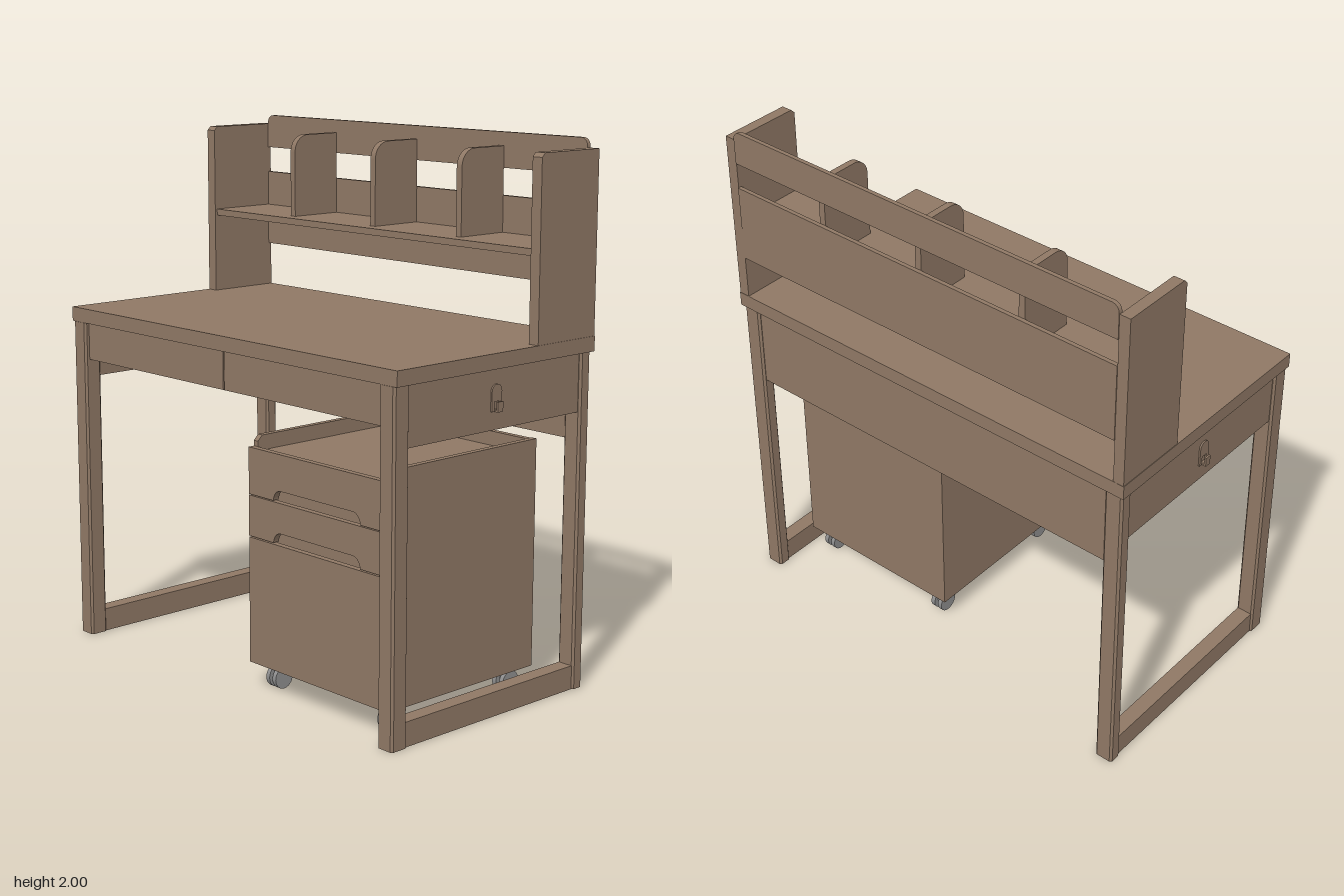
import * as THREE from 'three';

const wood = new THREE.MeshStandardMaterial({ color: 0x8f7865 });
wood.name = 'wood';
const grey = new THREE.MeshStandardMaterial({ color: 0x8e8e8e });
grey.name = 'casterGrey';

function add(group, name, geometry, material = wood) {
  const mesh = new THREE.Mesh(geometry, material);
  mesh.name = name;
  group.add(mesh);
  return mesh;
}

// Box given by its limits on each axis
function box(group, name, [x0, x1], [y0, y1], [z0, z1], material = wood) {
  const g = new THREE.BoxGeometry(x1 - x0, y1 - y0, z1 - z0);
  g.translate((x0 + x1) / 2, (y0 + y1) / 2, (z0 + z1) / 2);
  return add(group, name, g, material);
}

const polygon = (points) => new THREE.Shape(points.map(([a, b]) => new THREE.Vector2(a, b)));

// Profile drawn in (z, y), extruded from x0 to x1
function sideProfile(group, name, shape, x0, x1) {
  const g = new THREE.ExtrudeGeometry(shape, { depth: x1 - x0, bevelEnabled: false, curveSegments: 8 });
  g.rotateY(-Math.PI / 2).translate(x1, 0, 0);
  return add(group, name, g);
}

// Profile drawn in (x, y), extruded from z0 to z1
function frontProfile(group, name, shape, z0, z1) {
  const g = new THREE.ExtrudeGeometry(shape, { depth: z1 - z0, bevelEnabled: false, curveSegments: 8 });
  g.translate(0, 0, z0);
  return add(group, name, g);
}

// Upright leg with small chamfered edges
function leg(group, name, [x0, x1], height, [z0, z1]) {
  const c = 0.008;
  const s = polygon([[x0 + c, -z1], [x1 - c, -z1], [x1, -z1 + c], [x1, -z0 - c],
    [x1 - c, -z0], [x0 + c, -z0], [x0, -z0 - c], [x0, -z1 + c]]);
  const g = new THREE.ExtrudeGeometry(s, { depth: height, bevelEnabled: false });
  g.rotateX(-Math.PI / 2);
  add(group, name, g);
}

function createDesk() {
  const desk = new THREE.Group();
  desk.name = 'desk';
  box(desk, 'desktop', [-0.895, 0.895], [1.25, 1.305], [-0.488, 0.49]);
  box(desk, 'backApron', [-0.815, 0.815], [0.93, 1.25], [-0.47, -0.44]);

  for (const s of [-1, 1]) {
    const span = (a, b) => (s > 0 ? [a, b] : [-b, -a]);
    const side = s > 0 ? 'left' : 'right';
    leg(desk, side + 'FrontLeg', span(0.812, 0.885), 1.25, [0.42, 0.492]);
    leg(desk, side + 'BackLeg', span(0.812, 0.885), 1.25, [-0.48, -0.428]);
    box(desk, side + 'FootRail', span(0.818, 0.878), [0, 0.09], [-0.43, 0.422]);
    box(desk, side + 'Apron', span(0.83, 0.875), [1.035, 1.25], [-0.43, 0.422]);

    // Drawer under the top
    box(desk, side + 'DrawerFront', span(0.003, 0.81), [1.107, 1.247], [0.445, 0.475]);
    box(desk, side + 'DrawerBody', span(0.01, 0.8), [1.12, 1.247], [-0.43, 0.445]);

    // Bag hook: arched plate with an upturned tongue
    const plate = new THREE.Shape();
    plate.moveTo(-0.025, 1.1);
    plate.lineTo(-0.012, 1.1);
    plate.lineTo(-0.012, 1.135);
    plate.lineTo(0.012, 1.135);
    plate.lineTo(0.012, 1.1);
    plate.lineTo(0.025, 1.1);
    plate.lineTo(0.025, 1.17);
    plate.absarc(0, 1.17, 0.025, 0, Math.PI, false);
    plate.closePath();
    sideProfile(desk, side + 'HookPlate', plate, ...span(0.873, 0.881));
    box(desk, side + 'HookBase', span(0.875, 0.898), [1.1, 1.107], [-0.013, 0.013]);
    box(desk, side + 'HookTip', span(0.891, 0.898), [1.1, 1.136], [-0.013, 0.013]);
  }
  return desk;
}

function createHutch() {
  const hutch = new THREE.Group();
  hutch.name = 'hutch';
  const panel = polygon([[-0.487, 1.305], [-0.19, 1.305], [-0.19, 1.95],
    [-0.205, 1.965], [-0.487, 1.965]]);
  sideProfile(hutch, 'leftSidePanel', panel, 0.85, 0.893);
  sideProfile(hutch, 'rightSidePanel', panel, -0.893, -0.85);

  // Top rail with rounded upper corners
  const rail = new THREE.Shape();
  rail.moveTo(-0.85, 1.87);
  rail.lineTo(0.85, 1.87);
  rail.lineTo(0.85, 1.97);
  rail.absarc(0.82, 1.97, 0.03, 0, Math.PI / 2, false);
  rail.lineTo(-0.82, 2);
  rail.absarc(-0.82, 1.97, 0.03, Math.PI / 2, Math.PI, false);
  rail.closePath();
  frontProfile(hutch, 'topRail', rail, -0.49, -0.474);
  box(hutch, 'backBoard', [-0.85, 0.85], [1.475, 1.77], [-0.49, -0.474]);
  box(hutch, 'shelf', [-0.85, 0.85], [1.61, 1.635], [-0.474, -0.2]);

  // Dividers rounded at the front top corner
  const divider = new THREE.Shape();
  divider.moveTo(-0.474, 1.635);
  divider.lineTo(-0.255, 1.635);
  divider.lineTo(-0.255, 1.885);
  divider.absarc(-0.32, 1.885, 0.065, 0, Math.PI / 2, false);
  divider.lineTo(-0.474, 1.95);
  divider.closePath();
  for (const x of [-0.45, 0, 0.445]) sideProfile(hutch, 'divider', divider, x - 0.013, x + 0.013);
  return hutch;
}

// Drawer front with a finger cut-out in its lower edge
function cabinetFront(group, name, y0, y1) {
  const s = new THREE.Shape();
  s.moveTo(0.075, y0);
  s.lineTo(0.208, y0);
  s.quadraticCurveTo(0.215, y0 + 0.04, 0.25, y0 + 0.04);
  s.lineTo(0.615, y0 + 0.04);
  s.quadraticCurveTo(0.65, y0 + 0.04, 0.657, y0);
  s.lineTo(0.795, y0);
  s.lineTo(0.795, y1);
  s.lineTo(0.075, y1);
  s.closePath();
  frontProfile(group, name, s, 0.4, 0.425);
}

function createCabinet() {
  const cabinet = new THREE.Group();
  cabinet.name = 'rollingCabinet';
  const side = polygon([[-0.303, 0.1], [0.4, 0.1], [0.4, 0.925], [0.38, 0.945], [-0.303, 0.945]]);
  sideProfile(cabinet, 'cabinetRightSide', side, 0.075, 0.098);
  sideProfile(cabinet, 'cabinetLeftSide', side, 0.772, 0.795);
  box(cabinet, 'cabinetBody', [0.098, 0.772], [0.1, 0.885], [-0.28, 0.37]);
  box(cabinet, 'cabinetTop', [0.098, 0.772], [0.87, 0.89], [-0.28, 0.4]);
  box(cabinet, 'cabinetBack', [0.098, 0.772], [0.1, 0.943], [-0.303, -0.28]);
  box(cabinet, 'cabinetFloor', [0.098, 0.772], [0.1, 0.12], [-0.28, 0.4]);
  box(cabinet, 'lowerFront', [0.075, 0.795], [0.1, 0.572], [0.4, 0.425]);
  cabinetFront(cabinet, 'middleFront', 0.577, 0.728);
  cabinetFront(cabinet, 'upperFront', 0.732, 0.905);

  // Twin-wheel casters
  for (const x of [0.14, 0.725]) {
    for (const z of [-0.24, 0.34]) {
      const caster = new THREE.Group();
      caster.name = 'caster';
      for (const dx of [-0.017, 0.017]) {
        const wheel = new THREE.CylinderGeometry(0.041, 0.041, 0.018, 24);
        wheel.rotateZ(Math.PI / 2).translate(dx, 0.041, 0);
        add(caster, 'wheel', wheel, grey);
      }
      const hub = new THREE.CylinderGeometry(0.022, 0.022, 0.02, 16);
      hub.rotateZ(Math.PI / 2).translate(0, 0.045, 0);
      add(caster, 'hub', hub, grey);
      box(caster, 'bracket', [-0.012, 0.012], [0.04, 0.1], [-0.018, 0.018], grey);
      box(caster, 'mountPlate', [-0.026, 0.026], [0.092, 0.1], [-0.026, 0.026], grey);
      caster.position.set(x, 0, z);
      cabinet.add(caster);
    }
  }
  return cabinet;
}

export function createModel() {
  const model = new THREE.Group();
  model.name = 'deskSet';
  model.add(createDesk(), createHutch(), createCabinet());
  return model;
}
